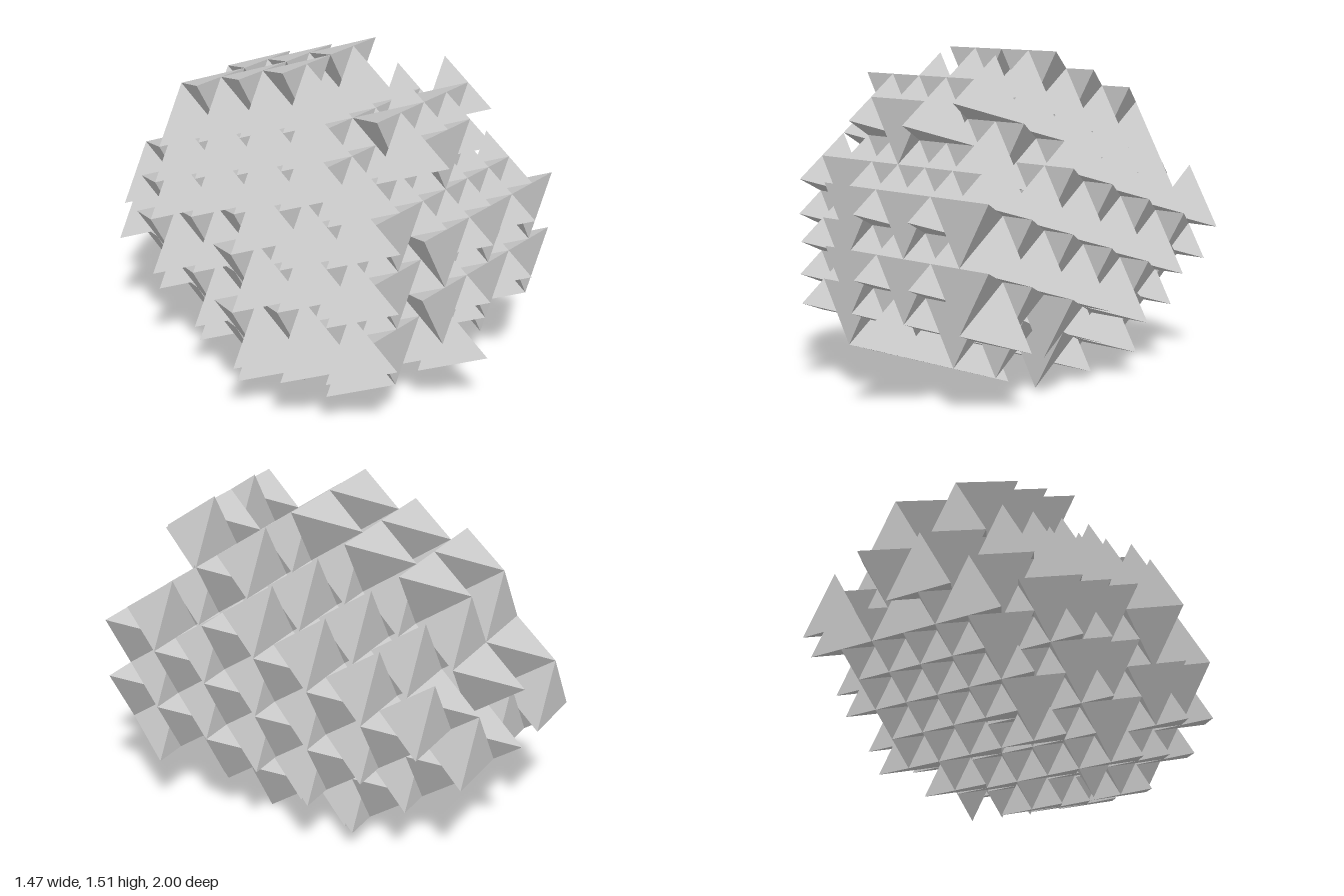
import * as THREE from 'three';
import { mergeGeometries } from 'three/addons/utils/BufferGeometryUtils.js';

// Regular tetrahedron measures: half edge, row height, row slope, layer depth
const H = 0.1634, ROW = 0.2832, SLOPE = 0.0944, DEPTH = 0.2668;

// Tetrahedron hanging from an edge along x; sign -1 gives its point reflection
function tetra(sign) {
  const L = [-H, 0, 0], R = [H, 0, 0], D = [0, -ROW, 0], K = [0, -SLOPE, -DEPTH];
  const faces = [[L, D, R], [L, R, K], [R, D, K], [D, L, K]];
  const pos = faces.flatMap(f => (sign > 0 ? f : [...f].reverse()).flat().map(v => v * sign));
  const g = new THREE.BufferGeometry();
  g.setAttribute('position', new THREE.Float32BufferAttribute(pos, 3));
  g.computeVertexNormals();
  return g;
}

// Two interleaved lattices; p counts layers backward, q counts rows upward
const lattices = [{ z: 0.8667, y: 0.944 }, { z: 1.0, y: 0.85 }];

// One upright slice per column: x position in quarter edges, lattice,
// ranges of p, q and height n for all corners, front-top cut s, back-bottom cut d,
// hang: first layer and greatest height of hanging pieces,
// stand: last layer, lowest row and least height of standing pieces
const columns = [
  { x: 7, lat: 0, p: [0, 6], q: [-2, 2], n: [-8, 3], s: 0, d: -5, hang: [0, 1], stand: [6, -2, -7] },
  { x: 5, lat: 1, p: [0, 7], q: [-2, 3], n: [-9, 7], s: 0.9, d: -6, hang: [1, 4], stand: [7, -1, -8] },
  { x: 3, lat: 0, p: [0, 7], q: [-2, 4], n: [-10, 6], s: 1, d: -6, hang: [0, 6], stand: [6, -2, -10] },
  { x: 1, lat: 1, p: [0, 7], q: [-2, 3], n: [-9, 7], s: 0.9, d: -6, hang: [1, 5], stand: [7, -2, -9] },
  { x: -1, lat: 0, p: [0, 7], q: [-2, 4], n: [-9, 6], s: 1, d: -6, hang: [0, 6], stand: [7, -2, -9] },
  { x: -3, lat: 1, p: [1, 7], q: [-2, 3], n: [-9, 6], s: 0, d: -6, hang: [1, 4], stand: [7, -2, -8] },
  { x: -5, lat: 0, p: [0, 6], q: [-2, 2], n: [-9, 4], s: 0, d: -5, hang: [1, 1], stand: [5, -2, -9] },
  { x: -7, lat: 1, p: [1, 4], q: [-2, 2], n: [-6, 3], s: -1, d: -5, hang: [2, 0], stand: [3, -1, -6] },
];

const within = (v, [lo, hi]) => v >= lo && v <= hi;

// True when a lattice corner lies inside the column's outline
function inside(c, p, q) {
  return within(p, c.p) && within(q, c.q) && within(3 * q - p, c.n) &&
    q - 1.2 * p <= c.s + 1e-6 && q - p >= c.d && p + q <= 9;
}

// Hanging piece: flat face to the front, point below
function hangs(c, p, q) {
  return p >= c.hang[0] && 3 * q - p <= c.hang[1] && q < c.q[1] && q - 1.2 * p < 0.9 &&
    inside(c, p, q - 1) && inside(c, p + 1, q);
}

// Standing piece: point to the front, edge below
function stands(c, p, q) {
  return p <= c.stand[0] && q >= c.stand[1] && 3 * q - p >= c.stand[2] &&
    inside(c, p, q + 1) && inside(c, p - 1, q);
}

function buildColumn(c, material) {
  const hanging = tetra(1), standing = tetra(-1), parts = [];
  const { z, y } = lattices[c.lat];
  for (let p = 0; p <= 7; p++) {
    for (let q = -2; q <= 3; q++) {
      if (!inside(c, p, q)) continue;
      const place = g => parts.push(g.clone().translate(
        c.x * H / 2, y - SLOPE * p + ROW * q, z - DEPTH * p));
      if (hangs(c, p, q)) place(hanging);
      if (stands(c, p, q)) place(standing);
    }
  }
  return new THREE.Mesh(mergeGeometries(parts), material);
}

export function createModel() {
  const group = new THREE.Group();
  group.name = 'tetrahedronCluster';
  const material = new THREE.MeshStandardMaterial({ color: 0xcccccc, flatShading: true });
  columns.forEach((c, i) => {
    const mesh = buildColumn(c, material);
    mesh.name = `tetrahedronColumn${i + 1}`;
    group.add(mesh);
  });
  return group;
}
